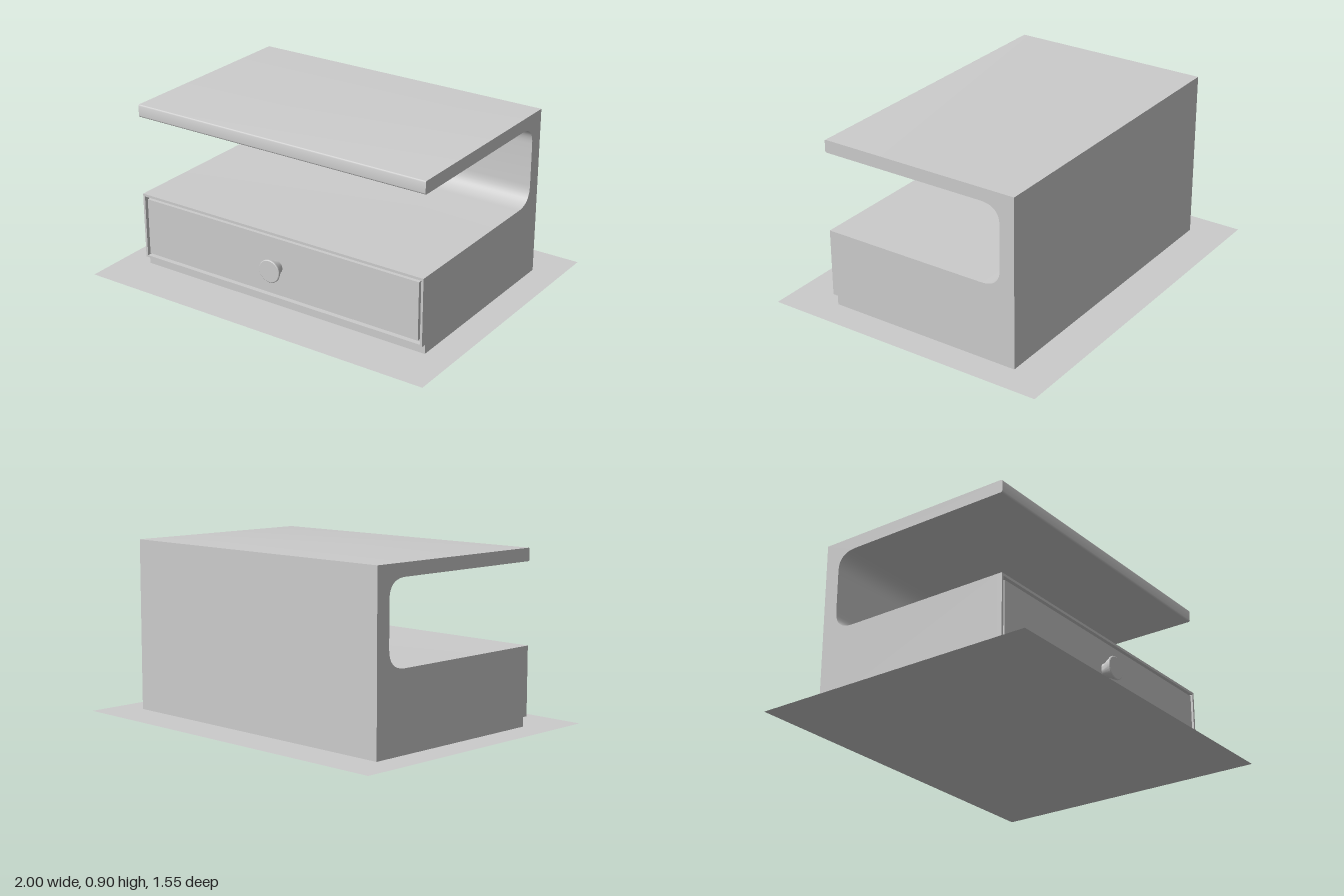
import * as THREE from 'three';
import { toCreasedNormals } from 'three/addons/utils/BufferGeometryUtils.js';

const W = 1.696; // cabinet width

export function createModel() {
  const group = new THREE.Group();
  const mat = new THREE.MeshStandardMaterial({ color: 0xcccccc });
  const add = (name, geometry, material = mat) => {
    const mesh = new THREE.Mesh(geometry, material);
    mesh.name = name;
    group.add(mesh);
    return mesh;
  };

  // Thin floor sheet under the cabinet
  const sheetMat = new THREE.MeshStandardMaterial({ color: 0xcccccc, side: THREE.DoubleSide });
  add('floorSheet', new THREE.PlaneGeometry(2, 1.55).rotateX(-Math.PI / 2), sheetMat);

  // C-shaped cabinet side profile (z, y), extruded across the width
  const s = new THREE.Shape();
  s.moveTo(-0.56, 0.001);
  s.lineTo(0.508, 0.001);
  s.lineTo(0.508, 0.41);
  s.lineTo(-0.37, 0.41);
  s.bezierCurveTo(-0.44, 0.41, -0.48, 0.44, -0.48, 0.51);
  s.lineTo(-0.48, 0.735);
  s.bezierCurveTo(-0.48, 0.805, -0.44, 0.833, -0.37, 0.833);
  s.lineTo(0.528, 0.833);
  s.quadraticCurveTo(0.536, 0.833, 0.536, 0.841);
  s.lineTo(0.536, 0.892);
  s.quadraticCurveTo(0.536, 0.9, 0.528, 0.9);
  s.lineTo(-0.56, 0.9);
  s.closePath();
  const body = new THREE.ExtrudeGeometry(s, { depth: W, bevelEnabled: false, curveSegments: 10 });
  body.translate(0, 0, -W / 2).rotateY(-Math.PI / 2);
  add('cabinetBody', toCreasedNormals(body, 0.6));

  // Slim rim around the drawer front
  const rect = (Type, hw, y0, y1) => new Type([
    new THREE.Vector2(-hw, y0), new THREE.Vector2(hw, y0),
    new THREE.Vector2(hw, y1), new THREE.Vector2(-hw, y1),
  ]);
  const frame = rect(THREE.Shape, W / 2, 0.05, 0.41);
  frame.holes.push(rect(THREE.Path, 0.836, 0.06, 0.397));
  add('drawerFrame', new THREE.ExtrudeGeometry(frame, { depth: 0.028, bevelEnabled: false }))
    .position.z = 0.508;

  // Drawer front, separated from the rim by a groove
  add('drawerFront', new THREE.BoxGeometry(1.644, 0.308, 0.03)).position.set(0, 0.229, 0.517);

  // Flared round knob
  const knobProfile = [[0, 0], [0.035, 0], [0.038, 0.015], [0.061, 0.058], [0.061, 0.063], [0.057, 0.066], [0, 0.066]]
    .map(([r, h]) => new THREE.Vector2(r, h));
  const knob = new THREE.LatheGeometry(knobProfile, 32).rotateX(Math.PI / 2);
  add('drawerKnob', toCreasedNormals(knob, 0.5)).position.set(0, 0.229, 0.53);

  return group;
}
